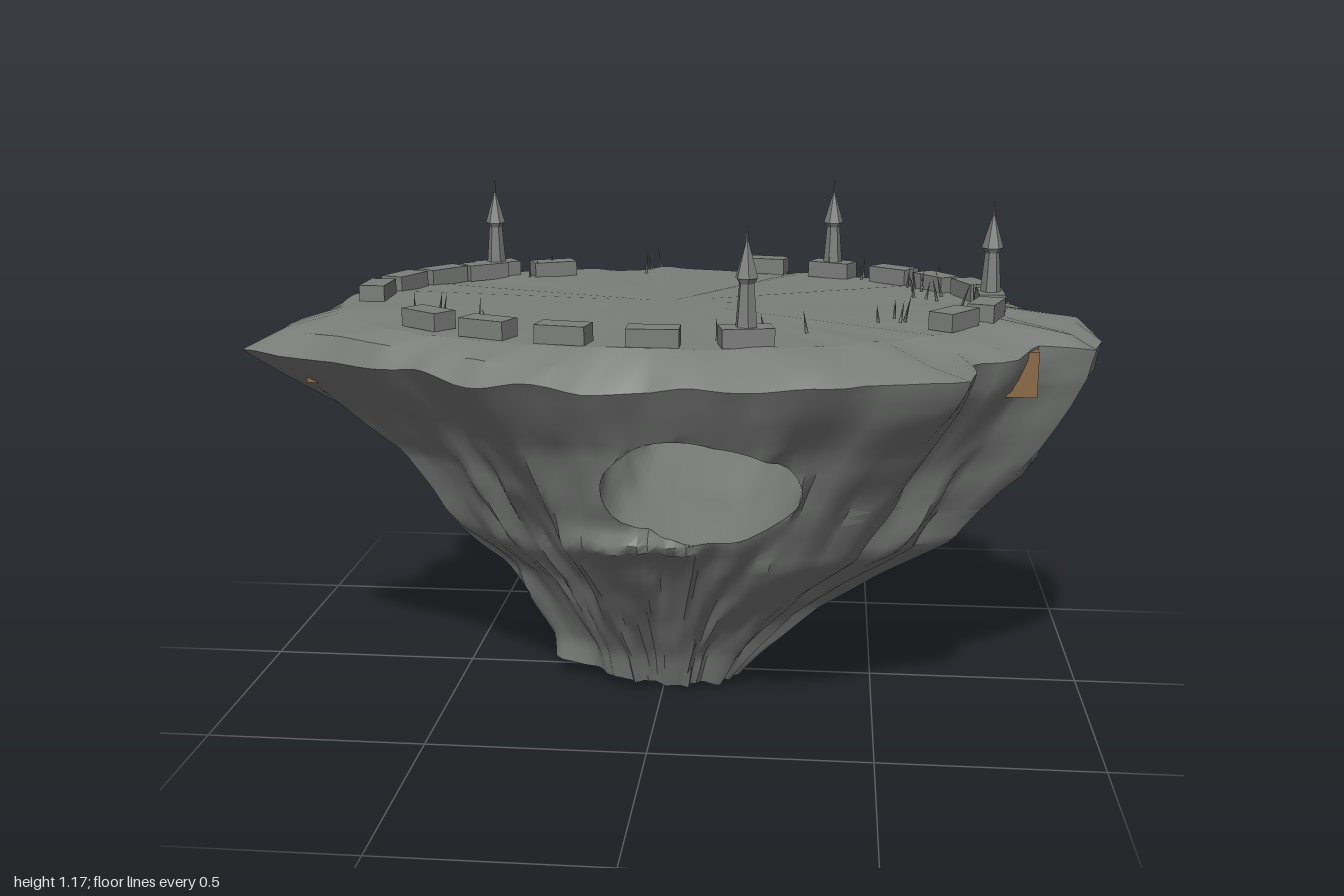
import * as THREE from 'three';
import { toCreasedNormals } from 'three/addons/utils/BufferGeometryUtils.js';

const stone = new THREE.MeshStandardMaterial({ color: 0x7c7e7c, side: THREE.DoubleSide });
stone.name = 'grey stone';
const timber = new THREE.MeshStandardMaterial({ color: 0x8b6a47 });
timber.name = 'brown timber';

// Seeded value noise
const hash = (x, y, z) => {
  const s = Math.sin(x * 127.1 + y * 311.7 + z * 74.7) * 43758.5453;
  return s - Math.floor(s);
};
const mix = THREE.MathUtils.lerp;
function noise(x, y, z) {
  const X = Math.floor(x), Y = Math.floor(y), Z = Math.floor(z);
  const e = (t) => t * t * (3 - 2 * t);
  const u = e(x - X), v = e(y - Y), w = e(z - Z);
  const row = (b, c) => mix(hash(X, Y + b, Z + c), hash(X + 1, Y + b, Z + c), u);
  return mix(mix(row(0, 0), row(1, 0), v), mix(row(0, 1), row(1, 1), v), w);
}

// Rim outline seen from above, as [x, z], turned into sorted polar points
const rim = [
  [1, 0], [.99, -.08], [.93, -.14], [.83, -.21], [.75, -.4], [.62, -.5], [.45, -.57], [.3, -.6],
  [.08, -.58], [-.02, -.67], [-.16, -.63], [-.25, -.56], [-.4, -.5], [-.55, -.4], [-.75, -.35],
  [-.82, -.22], [-.78, -.1], [-.87, .02], [-.88, .12], [-1, .25], [-.85, .35], [-.7, .41],
  [-.5, .51], [-.3, .65], [0, .63], [.2, .67], [.45, .64], [.66, .61], [.68, .41], [.78, .38],
  [.82, .26], [.95, .22], [1, .06],
].map(([x, z]) => [Math.atan2(z, x), Math.hypot(x, z)]).sort((a, b) => a[0] - b[0]);

function rimRadius(t) {
  t = Math.atan2(Math.sin(t), Math.cos(t));
  const n = rim.length;
  let k = rim.findIndex((p) => p[0] > t);
  if (k < 0) k = n;
  const a = k > 0 ? rim[k - 1] : [rim[n - 1][0] - 2 * Math.PI, rim[n - 1][1]];
  const b = k < n ? rim[k] : [rim[0][0] + 2 * Math.PI, rim[0][1]];
  return mix(a[1], b[1], (t - a[0]) / (b[0] - a[0]));
}

// Share of the rim radius at each height, for the four sides
const heights = [0, .1, .2, .3, .4, .5, .6, .7, .8, .87];
const profiles = {
  left: [.18, .26, .36, .5, .67, .74, .81, .9, .98, 1],
  right: [.27, .27, .32, .36, .47, .53, .6, .74, .9, 1],
  front: [.21, .27, .37, .48, .6, .68, .75, .82, .93, 1],
  back: [.27, .32, .4, .5, .57, .63, .73, .83, .94, 1],
};
function share(p, y) {
  let k = 1;
  while (k < heights.length - 1 && heights[k] < y) k++;
  const f = (y - heights[k - 1]) / (heights[k] - heights[k - 1]);
  return mix(p[k - 1], p[k], THREE.MathUtils.clamp(f, 0, 1));
}

// Rock radius: profile, steep grooves and a ledge under the arch
function rockRadius(t, y) {
  const c = Math.cos(t), s = Math.sin(t);
  const f = c * c * share(c > 0 ? profiles.left : profiles.right, y)
    + s * s * share(s > 0 ? profiles.front : profiles.back, y);
  const tt = t + .12 * (noise(c * 2 + 7, y * 6, s * 2) - .5);
  const C = Math.cos(tt), S = Math.sin(tt);
  const big = noise(C * 3.5 + 20, y * 3, S * 3.5 + 9);
  const groove = 1 - Math.abs(2 * noise(C * 7 + 40, y * 2.6, S * 7 + 3) - 1);
  const fine = noise(C * 16 + 11, y * 9, S * 16 + 5);
  const n = .45 * big + .35 * groove + .2 * fine - .5;
  const amp = mix(.3, .06, THREE.MathUtils.smoothstep(y, .55, .87));
  const ledge = .06 * Math.exp(-(((y - .46) / .035) ** 2)) * Math.exp(-(((t - 1.6) / .3) ** 2));
  return rimRadius(t) * f * (1 + amp * n) + ledge;
}

// Depth of the rock face at a given x and y, front (+1) or back (-1)
function faceZ(x, y, side) {
  let lo = 0, hi = .9;
  for (let k = 0; k < 24; k++) {
    const m = (lo + hi) / 2;
    if (Math.hypot(x, m) < rockRadius(Math.atan2(side * m, x), y)) lo = m; else hi = m;
  }
  return side * lo;
}

// Mouth of the arch that runs through the rock
const archPoint = (a) => [
  .115 + Math.cos(a) * .213 * (1 + .025 * Math.sin(3 * a + 1)),
  .605 + Math.sin(a) * .125 * (1 + .05 * Math.sin(4 * a)),
];

// Skin rings of points; ring points flagged "cut" leave an opening
function loft(rows, crease) {
  const pos = [], n = rows[0].length;
  const tri = (a, b, c) => {
    if (!(a.cut && b.cut && c.cut)) for (const p of [a, b, c]) pos.push(p.x, p.y, p.z);
  };
  for (let j = 0; j < rows.length - 1; j++) {
    for (let i = 0; i < n; i++) {
      const k = (i + 1) % n;
      const a = rows[j][i], b = rows[j + 1][i], c = rows[j][k], d = rows[j + 1][k];
      tri(a, b, c);
      tri(c, b, d);
    }
  }
  const g = new THREE.BufferGeometry();
  g.setAttribute('position', new THREE.Float32BufferAttribute(pos, 3));
  return toCreasedNormals(g, crease);
}

const SEG = 144, ROWS = 40;
const ring = (fn) => Array.from({ length: SEG }, (_, i) => fn((i / SEG) * Math.PI * 2 - Math.PI));
const polar = (t, r, y) => new THREE.Vector3(Math.cos(t) * r, y, Math.sin(t) * r);

function shellPoint(t, v) {
  const c = Math.cos(t), s = Math.sin(t);
  const base = Math.max(0, .018 - .1 * c * rockRadius(t, 0) + .015 * (noise(c * 5, 3, s * 5) - .5));
  const top = .862 + .012 * c + .04 * (noise(c * 6 + 3, 8, s * 6) - .5);
  const y = mix(base, top, v) + .02 * Math.sin(v * Math.PI) * (noise(c * 8, v * 12, s * 8) - .5);
  const p = polar(t, rockRadius(t, y), y);
  const dx = (p.x - .115) / .213, dy = (p.y - .605) / .125;
  const a = Math.atan2(dy, dx), [ax, ay] = archPoint(a);
  if (Math.hypot(p.x - .115, p.y - .605) < Math.hypot(ax - .115, ay - .605)) {
    p.set(ax, ay, faceZ(ax, ay, Math.sign(p.z)));
    p.cut = true;
  }
  return p;
}

function plateauEdge(t) {
  const c = Math.cos(t), s = Math.sin(t);
  const r = Math.min(1 / Math.hypot(c / .77, s / .545), rimRadius(t) * .93);
  return polar(t, r, .92 + .012 * (noise(c * 9, 2, s * 9) - .5));
}

export function createModel() {
  const model = new THREE.Group();
  model.name = 'floatingIsland';
  const add = (name, geo, mat = stone, parent = model) => {
    const m = new THREE.Mesh(geo, mat);
    m.name = name;
    parent.add(m);
    return m;
  };

  // Rock body, from underside to rim and over the lip
  const rows = [ring(() => new THREE.Vector3(-.03, .035, 0))];
  for (let j = 0; j <= ROWS; j++) rows.push(ring((t) => shellPoint(t, j / ROWS)));
  rows.push(ring((t) => {
    const e = plateauEdge(t), o = shellPoint(t, 1);
    const n = noise(Math.cos(t) * 8, 5, Math.sin(t) * 8);
    return e.clone().lerp(o, .45 + .4 * n).setY(.885 + .02 * n);
  }));
  rows.push(ring(plateauEdge));
  add('rockBody', loft(rows, .75));

  // Flat ground on top
  add('plateau', loft([ring(plateauEdge), ring(() => new THREE.Vector3(0, .925, 0))], .6));

  // Inside of the arch
  const arch = [];
  for (let j = 0; j <= 14; j++) {
    const f = j / 14;
    arch.push(ring((a) => {
      const [x, y] = archPoint(a);
      const grow = 1 + .12 * Math.sin(f * Math.PI) * noise(Math.cos(a) * 3, f * 6, Math.sin(a) * 3);
      return new THREE.Vector3(.115 + (x - .115) * grow, .605 + (y - .605) * grow,
        mix(faceZ(x, y, 1), faceZ(x, y, -1), f));
    }));
  }
  add('archTunnel', loft(arch, .75));

  // Broken parapet around the plateau
  const block = new THREE.BoxGeometry(.11, .04, .06);
  const along = (x, z) => Math.atan2(x / .53, z / .28);
  const walls = [[.21, -.5], [.54, -.36], [.64, -.25], [.72, -.15], [.73, .13], [.65, .25], [.02, .51],
    [-.17, .49], [-.34, .44], [-.49, .35], [-.7, 0], [-.67, -.14], [-.6, -.25], [-.51, -.33], [-.34, -.385]];
  for (const [x, z] of walls) {
    const w = add('wallBlock', block);
    w.position.set(x, .94, z);
    w.rotation.y = along(x, z);
  }

  // Watchtowers: plinth, shaft, roof and spike
  const parts = [
    ['towerShaft', new THREE.CylinderGeometry(.016, .025, .11, 6), 1.0],
    ['towerCollar', new THREE.CylinderGeometry(.024, .016, .014, 6), 1.055],
    ['towerRoof', new THREE.ConeGeometry(.025, .085, 6), 1.103],
    ['towerSpike', new THREE.CylinderGeometry(.0015, .003, .04, 4), 1.148],
  ].map(([n, g, y]) => [n, toCreasedNormals(g, .4), y]);
  for (const [x, z] of [[-.485, -.365], [.385, -.445], [.75, -.005], [.21, .49]]) {
    const tower = new THREE.Group();
    tower.name = 'tower';
    tower.position.set(x, 0, z);
    tower.rotation.y = along(x, z);
    for (const [n, g, y] of parts) add(n, g, stone, tower).position.y = y;
    add('towerPlinth', block, stone, tower).position.y = .94;
    model.add(tower);
  }

  // Timber blocks lodged in the rim
  const crate = new THREE.BoxGeometry(.11, .1, .135);
  for (const x of [.775, -.73]) {
    for (const z of [-.268, .24]) add('timberBlock', crate, timber).position.set(x, .83, z);
  }

  // Thin leaning spikes in clusters
  const spike = new THREE.ConeGeometry(.004, .06, 4);
  const clusters = [[.61, -.25, 6], [.62, -.12, 5], [.74, .03, 4], [.53, .22, 5], [-.5, .24, 3],
    [-.36, .36, 2], [.2, .42, 3], [.36, .4, 1], [-.12, -.5, 3], [-.36, -.38, 3], [.42, -.4, 3]];
  clusters.forEach(([x, z, count], c) => {
    for (let k = 0; k < count; k++) {
      const r = (n) => hash(c + 1, k + 1, n) - .5;
      const s = add('spike', spike);
      s.position.set(x + r(1) * .11, .948, z + r(2) * .11);
      s.rotation.set(r(3) * .6, 0, r(4) * .6);
      s.scale.y = 1 + r(5) * .8;
    }
  });
  return model;
}
